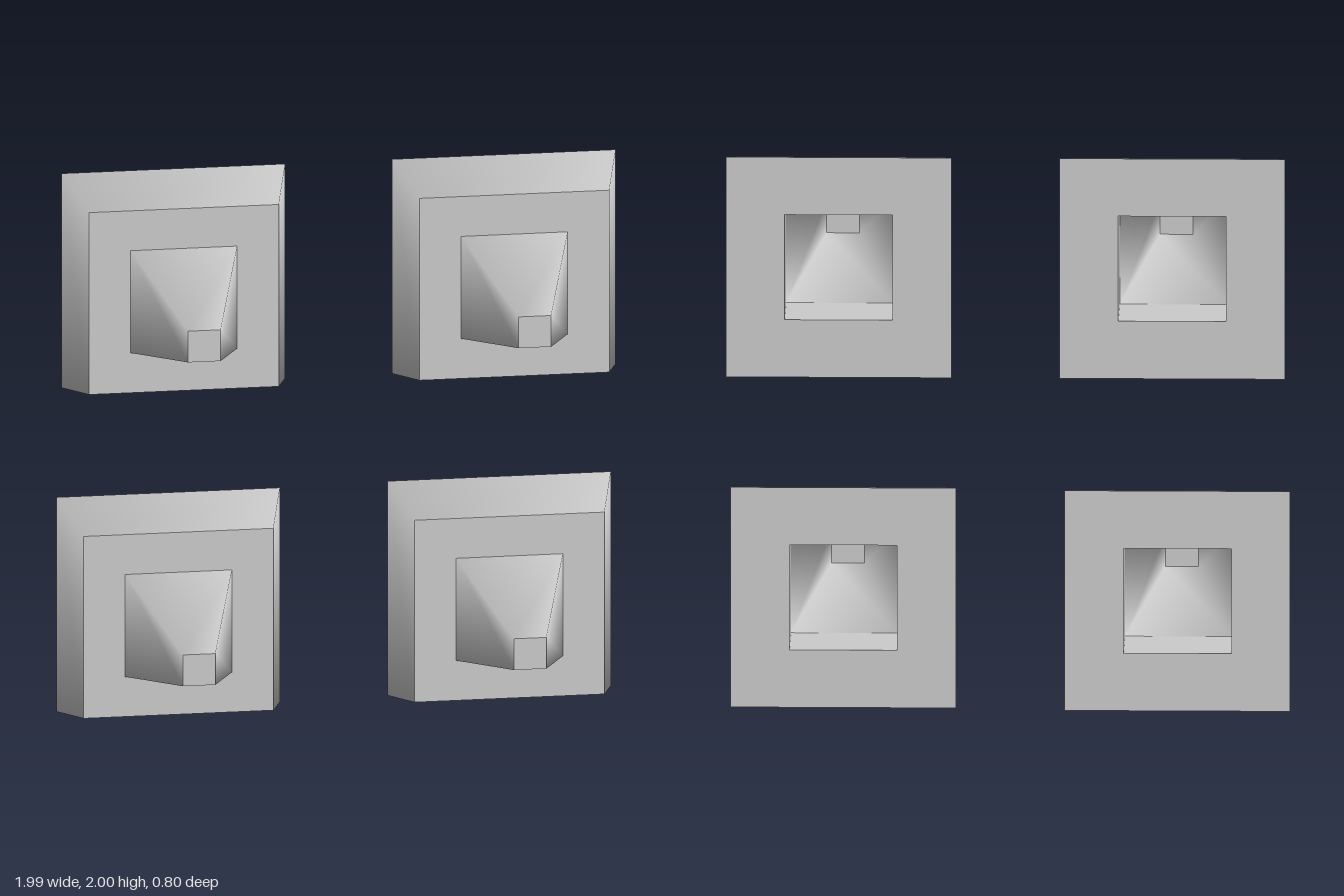
import * as THREE from 'three';

const BACK = -0.4, STEP = -0.13, TIP = 0.4;   // z levels
const OUTER_BACK = 0.398, OUTER_FRONT = 0.338; // half widths of the block
const HOLE = 0.19, TIP_HALF = 0.058;           // half widths of hole and spike tip

const grey = new THREE.MeshStandardMaterial({ color: 0xcccccc });
const greyDouble = new THREE.MeshStandardMaterial({ color: 0xcccccc, side: THREE.DoubleSide });

function addMesh(parent, name, geometry, material = grey) {
  const mesh = new THREE.Mesh(geometry, material);
  mesh.name = name;
  parent.add(mesh);
  return mesh;
}

// Open four-sided tapered tube along z, smooth around its corners
function squareTaper(halfBack, halfFront, z0, z1) {
  return new THREE.CylinderGeometry(halfFront * Math.SQRT2, halfBack * Math.SQRT2, z1 - z0, 4, 1, true)
    .rotateY(Math.PI / 4)
    .rotateX(Math.PI / 2)
    .translate(0, 0, (z0 + z1) / 2);
}

// Flat square frame facing +z
function squareRing(half, hole) {
  const corners = (h) => [[-h, -h], [h, -h], [h, h], [-h, h]].map(([x, y]) => new THREE.Vector2(x, y));
  const shape = new THREE.Shape(corners(half));
  shape.holes.push(new THREE.Path(corners(hole).reverse()));
  return new THREE.ShapeGeometry(shape);
}

function createUnit() {
  const unit = new THREE.Group();

  // Tapered block with a square hole through it
  const block = new THREE.Group();
  block.name = 'block';
  unit.add(block);
  addMesh(block, 'blockSides', squareTaper(OUTER_BACK, OUTER_FRONT, BACK, STEP));
  addMesh(block, 'blockFront', squareRing(OUTER_FRONT, HOLE).translate(0, 0, STEP));
  addMesh(block, 'blockBack', squareRing(OUTER_BACK, HOLE).rotateY(Math.PI).translate(0, 0, BACK));
  for (let i = 0; i < 4; i++) {
    const wall = new THREE.PlaneGeometry(2 * HOLE, STEP - BACK)
      .rotateX(-Math.PI / 2)
      .translate(0, -HOLE, (BACK + STEP) / 2)
      .rotateZ(i * Math.PI / 2);
    addMesh(block, 'holeWall', wall);
  }

  // Hollow spike, closed at its tip
  const spike = new THREE.Group();
  spike.name = 'spike';
  unit.add(spike);
  addMesh(spike, 'spikeSides', squareTaper(HOLE, TIP_HALF, STEP, TIP), greyDouble);
  addMesh(spike, 'spikeTip', new THREE.PlaneGeometry(2 * TIP_HALF, 2 * TIP_HALF).translate(0, 0, TIP), greyDouble);
  return unit;
}

export function createModel() {
  const model = new THREE.Group();
  model.name = 'studSet';
  // Four studs in a slightly uneven square
  const places = [
    ['upperRightStud', -0.583, 1.602],
    ['upperLeftStud', 0.594, 1.602],
    ['lowerRightStud', -0.602, 0.4],
    ['lowerLeftStud', 0.577, 0.407],
  ];
  for (const [name, x, y] of places) {
    const unit = createUnit();
    unit.name = name;
    unit.position.set(x, y, 0);
    model.add(unit);
  }
  return model;
}
